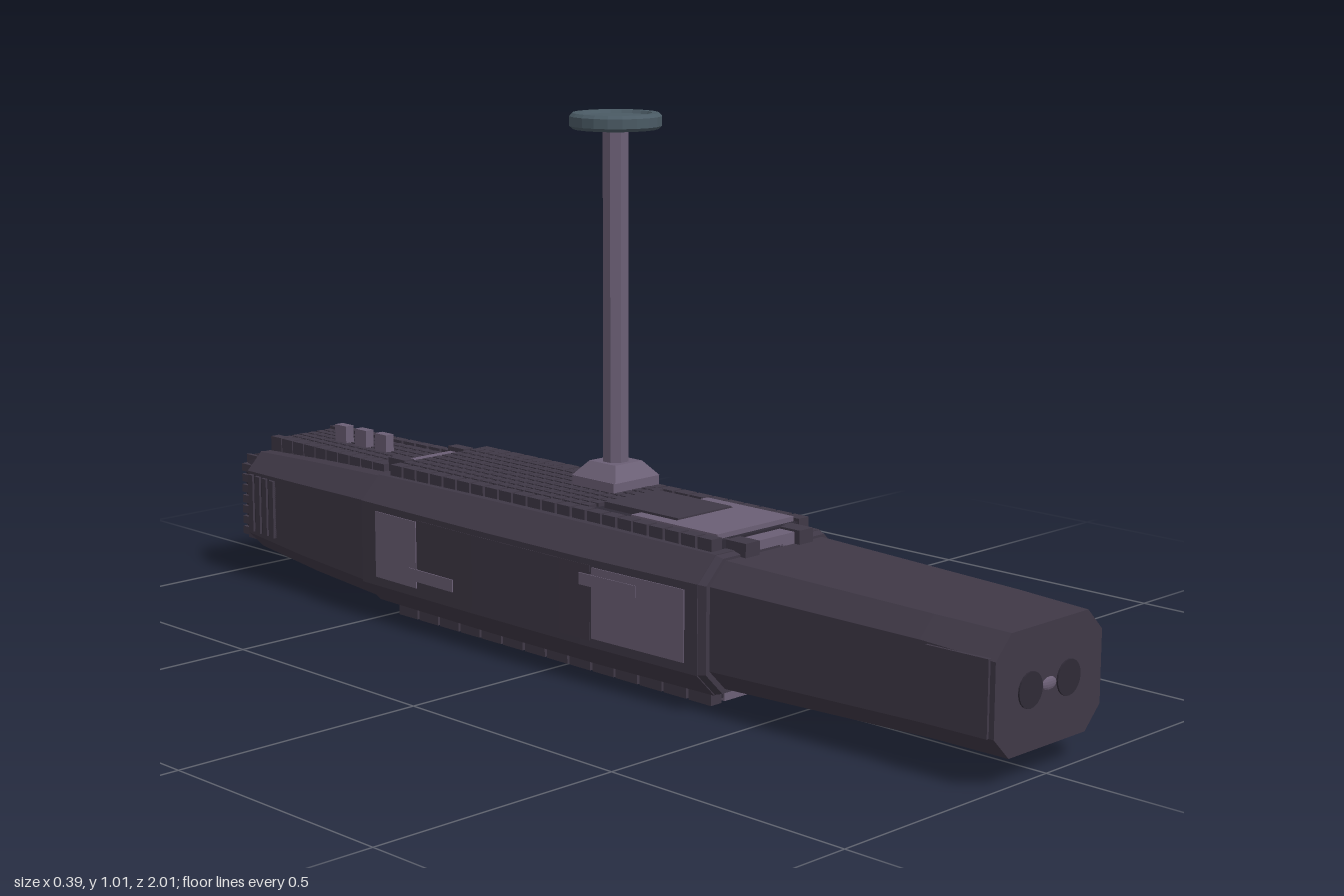
import * as THREE from 'three';
import { mergeGeometries } from 'three/addons/utils/BufferGeometryUtils.js';

const material = (color) => new THREE.MeshStandardMaterial({ color, flatShading: true });
const HULL = material(0x3f3846), DARK = material(0x2f2a36), LIGHT = material(0x6b5f75), DISH = material(0x4a5a64);

// Hull stations: [z, half width, bottom, top, chamfer]
const MID = [[0.385, 0.181, 0.027, 0.281, 0.045], [0.1, 0.19, 0.025, 0.284, 0.048],
  [-0.2, 0.19, 0.025, 0.284, 0.048], [-0.53, 0.183, 0.027, 0.281, 0.045]];
const NOSE = [[1, 0.142, 0.05, 0.258, 0.04], [0.85, 0.147, 0.052, 0.262, 0.036], [0.38, 0.166, 0.04, 0.272, 0.04]];
const TAIL = [[-0.52, 0.178, 0.03, 0.278, 0.043], [-0.75, 0.164, 0.042, 0.27, 0.04], [-0.95, 0.147, 0.058, 0.26, 0.035]];

// Octagonal cross-sections joined front to back, with both ends capped
function loft(stations) {
  const rings = stations.map(([z, w, b, t, c]) => [
    [w, b + c], [w, t - c], [w - c, t], [c - w, t], [-w, t - c], [-w, b + c], [c - w, b], [w - c, b],
  ].map(([x, y]) => [x, y, z]));
  const pos = [];
  const tri = (...p) => p.forEach((v) => pos.push(...v));
  for (let i = 0; i < rings.length - 1; i++) {
    for (let j = 0; j < 8; j++) {
      const k = (j + 1) % 8, r = rings[i], s = rings[i + 1];
      tri(r[j], s[j], r[k]);
      tri(r[k], s[j], s[k]);
    }
  }
  const first = rings[0], last = rings[rings.length - 1];
  for (let j = 1; j < 7; j++) {
    tri(first[0], first[j], first[j + 1]);
    tri(last[0], last[j + 1], last[j]);
  }
  const g = new THREE.BufferGeometry();
  g.setAttribute('position', new THREE.Float32BufferAttribute(pos, 3));
  g.computeVertexNormals();
  return g;
}

function halfWidth(stations, z) {
  for (let i = 0; i < stations.length - 1; i++) {
    const [z0, w0] = stations[i], [z1, w1] = stations[i + 1];
    if (z >= z1) return w0 + (w1 - w0) * (z0 - z) / (z0 - z1);
  }
  return stations[stations.length - 1][1];
}

// Box from its extents
const box = (x0, x1, y0, y1, z0, z1) =>
  new THREE.BoxGeometry(x1 - x0, y1 - y0, z1 - z0).translate((x0 + x1) / 2, (y0 + y1) / 2, (z0 + z1) / 2);

// Thin plates on both flanks that follow the hull's width
function flankPlates(stations, z0, z1, y0, y1, out) {
  return [1, -1].map((side) => {
    const g = new THREE.BoxGeometry(0.012, y1 - y0, z1 - z0, 1, 1, 6).translate(0, (y0 + y1) / 2, (z0 + z1) / 2);
    const p = g.attributes.position;
    for (let i = 0; i < p.count; i++) {
      p.setX(i, p.getX(i) + side * (halfWidth(stations, p.getZ(i)) + out - 0.006));
    }
    g.computeVertexNormals();
    return g;
  });
}

// Rows of small raised tiles; width(z) gives the half width of the row
function tiles(cols, rows, z0, z1, y0, y1, width) {
  const list = [], dz = (z1 - z0) / rows, gap = 0.0025;
  for (let r = 0; r < rows; r++) {
    const z = z0 + r * dz, w = width(z + dz / 2), dx = 2 * w / cols;
    for (let c = 0; c < cols; c++) {
      list.push(box(-w + c * dx + gap, -w + (c + 1) * dx - gap, y0, y1, z + gap, z + dz - gap));
    }
  }
  return list;
}

// Mirrored rows of blocks along both edges of a deck
function edgeBlocks(n, z0, z1, x0, x1, y0, y1) {
  const list = [], dz = (z1 - z0) / n;
  for (let i = 0; i < n; i++) {
    const a = z0 + i * dz + 0.003, b = z0 + (i + 1) * dz - 0.003;
    list.push(box(x0, x1, y0, y1, a, b), box(-x1, -x0, y0, y1, a, b));
  }
  return list;
}

export function createModel() {
  const model = new THREE.Group();
  const add = (name, geometry, mat) => {
    const mesh = new THREE.Mesh(Array.isArray(geometry) ? mergeGeometries(geometry) : geometry, mat);
    mesh.name = name;
    model.add(mesh);
    return mesh;
  };

  // Main body
  add('midHull', loft(MID), HULL);
  add('noseHull', loft(NOSE), HULL);
  add('tailHull', loft(TAIL), HULL);
  add('collar', loft([[0.4, 0.174, 0.033, 0.276, 0.042], [0.38, 0.181, 0.027, 0.281, 0.045]]), HULL);
  add('noseCheeks', flankPlates(NOSE, 0.865, 0.99, 0.09, 0.222, 0.005), HULL);

  // Nose face: two ports joined by a small bright bulb
  add('nosePorts', [-0.051, 0.051].map((x) =>
    new THREE.CylinderGeometry(0.031, 0.031, 0.01, 20).rotateX(Math.PI / 2).translate(x, 0.154, 0.998)), DARK);
  const bulb = add('noseBulb', new THREE.SphereGeometry(1, 12, 8), LIGHT);
  bulb.scale.set(0.02, 0.012, 0.006);
  bulb.position.set(0, 0.154, 0.999);

  // Flank panels
  add('sidePanels', [
    ...flankPlates(MID, 0.13, 0.355, 0.09, 0.222, 0.002),
    ...flankPlates(MID, -0.485, -0.36, 0.09, 0.222, 0.002),
    ...flankPlates(MID, 0.1, 0.24, 0.186, 0.208, 0.0035),
    ...flankPlates(MID, -0.38, -0.25, 0.104, 0.128, 0.0035),
  ], LIGHT);
  add('sideCenterPanels', flankPlates(MID, -0.355, 0.125, 0.085, 0.225, 0.001), HULL);

  // Upper deck with tiles and edge blocks
  add('upperDeck', box(-0.103, 0.103, 0.27, 0.297, -0.51, 0.365), DARK);
  add('upperTiles', tiles(8, 21, -0.505, 0.03, 0.29, 0.304, () => 0.1), HULL);
  add('upperEdgeBlocks', edgeBlocks(22, -0.51, 0.37, 0.101, 0.127, 0.27, 0.303), HULL);
  add('hatch', box(-0.07, 0.07, 0.285, 0.309, 0.04, 0.23), HULL);
  add('hatchFrame', [
    box(-0.1, 0.1, 0.285, 0.306, 0.23, 0.355),
    box(-0.1, -0.074, 0.285, 0.306, 0.14, 0.23),
    box(0.074, 0.1, 0.285, 0.306, 0.14, 0.23),
  ], LIGHT);
  add('deckStep', box(-0.052, 0.052, 0.262, 0.293, 0.36, 0.4), LIGHT);
  add('deckStepBlocks', edgeBlocks(1, 0.355, 0.415, 0.052, 0.088, 0.262, 0.297), HULL);

  // Tail deck
  const tailWidth = (z) => 0.068 + 0.014 * (z + 0.95) / 0.4;
  add('tailDeck', box(-0.068, 0.068, 0.245, 0.278, -0.95, -0.53), DARK);
  add('tailTiles', tiles(6, 14, -0.94, -0.555, 0.255, 0.287, (z) => tailWidth(z) - 0.004), HULL);
  add('tailEdgeBlocks', Array.from({ length: 10 }, (_, i) => {
    const z = -0.945 + i * 0.039, w = tailWidth(z);
    return [box(w, w + 0.02, 0.245, 0.291, z, z + 0.034), box(-w - 0.02, -w, 0.245, 0.291, z, z + 0.034)];
  }).flat(), HULL);
  add('tailDeckStep', box(-0.066, 0.066, 0.27, 0.296, -0.55, -0.515), LIGHT);
  add('tailDeckStepBlocks', edgeBlocks(1, -0.56, -0.505, 0.066, 0.09, 0.265, 0.305), HULL);
  add('tailPosts', [-0.68, -0.745, -0.81].map((z) => box(-0.01, 0.01, 0.27, 0.322, z - 0.018, z + 0.018)), LIGHT);

  // Flank vents near the stern
  add('ventRecesses', flankPlates(TAIL, -0.94, -0.845, 0.1, 0.22, 0.002), DARK);
  add('ventSlats', [0, 1, 2, 3].flatMap((i) =>
    flankPlates(TAIL, -0.94 + i * 0.026, -0.923 + i * 0.026, 0.1, 0.22, 0.007)), HULL);

  // Stern block with a grille wrapped round it
  add('sternBlock', loft([[-0.93, 0.132, 0.063, 0.255, 0.02], [-0.992, 0.12, 0.068, 0.247, 0.02]]), DARK);
  const grille = [];
  for (let i = 0; i < 7; i++) {
    const y = 0.08 + i * 0.0225;
    grille.push(box(-0.128, 0.128, y, y + 0.016, -0.996, -0.945));
  }
  for (let i = 0; i < 7; i++) {
    const x = -0.108 + i * 0.036;
    grille.push(box(x - 0.004, x + 0.004, 0.068, 0.248, -1, -0.95));
  }
  add('sternGrille', grille, HULL);

  // Underside deck
  add('lowerDeck', box(-0.098, 0.098, 0.01, 0.04, -0.49, 0.365), DARK);
  add('lowerFrontPanel', box(-0.092, 0.092, 0.004, 0.03, 0.2, 0.368), LIGHT);
  add('lowerTiles', tiles(8, 26, -0.485, 0.195, 0.004, 0.02, () => 0.095), HULL);
  add('lowerEdgeBlocks', edgeBlocks(14, -0.49, 0.37, 0.099, 0.126, 0.002, 0.04), HULL);

  // Offset mast with its tapered foot and dish
  const mast = new THREE.Group();
  mast.name = 'mast';
  mast.position.set(0.064, 0, -0.067);
  const addMast = (name, geometry, mat) => {
    const mesh = new THREE.Mesh(geometry, mat);
    mesh.name = name;
    mast.add(mesh);
  };
  addMast('mastPlinth', box(-0.06, 0.06, 0.28, 0.322, -0.056, 0.056), LIGHT);
  addMast('mastFoot', new THREE.CylinderGeometry(0.05, 0.083, 0.028, 4).rotateY(Math.PI / 4).translate(0, 0.336, 0), LIGHT);
  addMast('mastPole', new THREE.CylinderGeometry(0.026, 0.026, 0.65, 8).rotateY(Math.PI / 8).translate(0, 0.665, 0), LIGHT);
  const dishProfile = [[0, 0.98], [0.08, 0.98], [0.087, 0.986], [0.087, 1.004], [0.081, 1.01], [0.068, 1.01], [0.064, 1.004], [0, 1.004]];
  addMast('mastDish', new THREE.LatheGeometry(dishProfile.map(([x, y]) => new THREE.Vector2(x, y)), 20), DISH);
  model.add(mast);

  return model;
}
